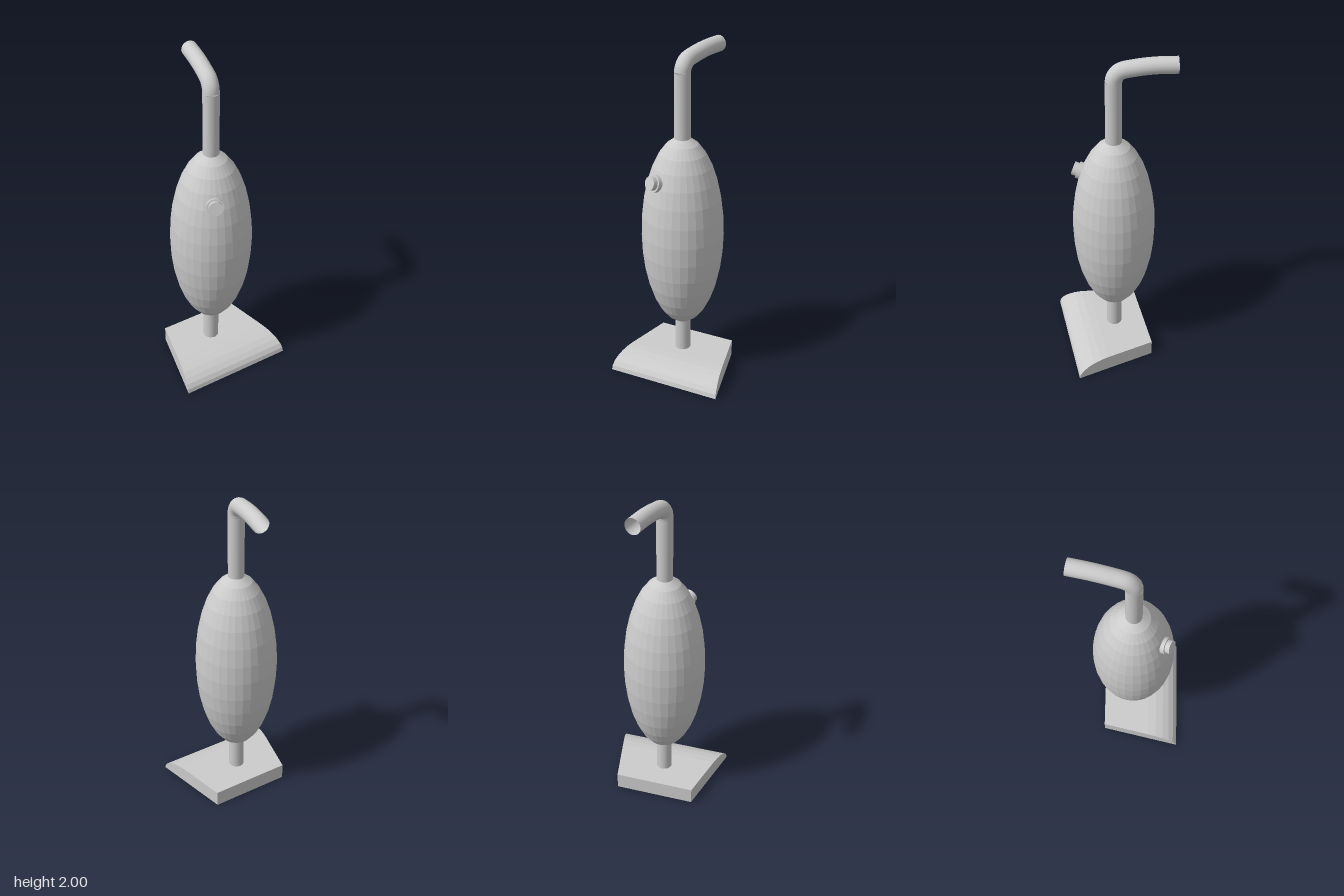
import * as THREE from 'three';

const material = new THREE.MeshStandardMaterial({ color: 0xcccccc, flatShading: true });
const openMaterial = new THREE.MeshStandardMaterial({ color: 0xcccccc, side: THREE.DoubleSide });
const AXIS_X = -0.01, AXIS_Z = 0.023, TUBE_R = 0.047;

function addMesh(parent, name, geometry, mat = material) {
  const mesh = new THREE.Mesh(geometry, mat);
  mesh.name = name;
  parent.add(mesh);
  return mesh;
}

// Floor head: side profile with a rounded nose, extruded across and flared toward the front
function floorHeadGeometry() {
  const back = -0.163, front = 0.322, noseStart = 0.13, height = 0.1;
  const profile = new THREE.Shape();
  profile.moveTo(back, 0);
  for (let i = 0; i <= 6; i++) {
    const a = (i / 6) * Math.PI / 2;
    profile.lineTo(noseStart + (front - noseStart) * Math.cos(a), height * Math.sin(a));
  }
  profile.lineTo(back, height);
  const geometry = new THREE.ExtrudeGeometry(profile, { depth: 2, bevelEnabled: false });
  geometry.translate(0, 0, -1).rotateY(-Math.PI / 2);
  const p = geometry.attributes.position;
  for (let i = 0; i < p.count; i++) {
    const t = (p.getZ(i) - back) / (front - back);
    p.setX(i, p.getX(i) * THREE.MathUtils.lerp(0.244, 0.352, t));
  }
  geometry.computeVertexNormals();
  return geometry;
}

export function createModel() {
  const model = new THREE.Group();
  model.name = 'uprightVacuumCleaner';

  addMesh(model, 'floorHead', floorHeadGeometry());

  // Egg-shaped dust body
  const body = addMesh(model, 'body', new THREE.SphereGeometry(1, 32, 16));
  body.scale.set(0.243, 0.6, 0.243);
  body.position.set(AXIS_X, 0.89, AXIS_Z);

  // Straight tubes below and above the body
  for (const [name, y0, y1] of [['lowerTube', 0.09, 0.33], ['upperTube', 1.45, 1.86]]) {
    const tube = addMesh(model, name,
      new THREE.CylinderGeometry(TUBE_R, TUBE_R, y1 - y0, 24, 1, true), openMaterial);
    tube.position.set(AXIS_X, (y0 + y1) / 2, AXIS_Z);
  }

  // Bent hand grip, swung slightly to the model's left, open at its end
  const path = [[0, 1.855], [0.006, 1.885], [0.035, 1.92], [0.11, 1.939], [0.22, 1.952], [0.34, 1.954]]
    .map(([d, y]) => new THREE.Vector3(AXIS_X + d * 0.195, y, AXIS_Z - d));
  addMesh(model, 'handGrip',
    new THREE.TubeGeometry(new THREE.CatmullRomCurve3(path), 32, TUBE_R, 24, false), openMaterial);

  // Stepped switch knob standing square on the body's surface
  const knob = new THREE.Group();
  knob.name = 'switchKnob';
  knob.position.set(-0.091, 1.25, 0.198);
  const outward = new THREE.Vector3(-0.4, 0.29, 0.87).normalize();
  knob.quaternion.setFromUnitVectors(new THREE.Vector3(0, 1, 0), outward);
  addMesh(knob, 'knobCollar', new THREE.CylinderGeometry(0.05, 0.05, 0.04, 24)).position.y = 0;
  addMesh(knob, 'knobCap', new THREE.CylinderGeometry(0.04, 0.04, 0.06, 24)).position.y = 0.018;
  model.add(knob);

  return model;
}
